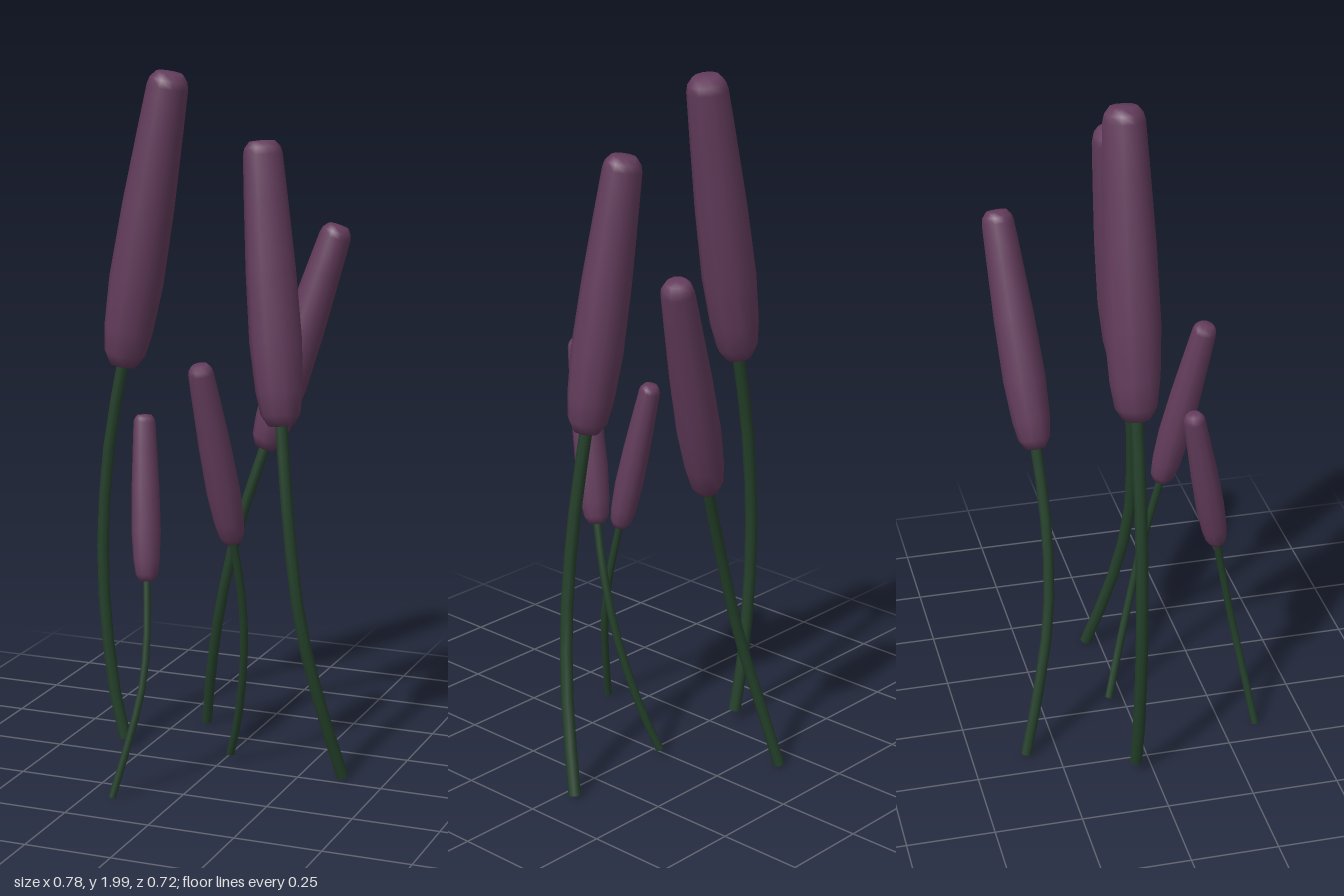
import * as THREE from 'three';

const stemMaterial = new THREE.MeshStandardMaterial({ color: 0x24402a });
const headMaterial = new THREE.MeshStandardMaterial({ color: 0x633c5c });

// Seed head outline: [radius factor, position along the length]
const HEAD_PROFILE = [
  [0, 0], [0.5, 0.004], [0.76, 0.045], [0.9, 0.13], [1, 0.3],
  [0.95, 0.55], [0.83, 0.8], [0.75, 0.95], [0.68, 0.975], [0.48, 0.997], [0, 1],
];

// Each reed: stem points from the ground up (the last is the head's base), head tip, radii
const REEDS = [
  {
    name: 'tallReed', stemRadius: 0.018, headRadius: 0.078, tip: [-0.158, 2.0, -0.047],
    stem: [[-0.31, 0.04, -0.047], [-0.345, 0.2, -0.047], [-0.376, 0.57, -0.047], [-0.352, 0.93, -0.047], [-0.308, 1.16, -0.047]],
  },
  {
    name: 'leaningReed', stemRadius: 0.018, headRadius: 0.073, tip: [0.128, 1.825, -0.013],
    stem: [[0.372, 0.015, -0.04], [0.325, 0.25, 0.03], [0.28, 0.5, 0.075], [0.245, 0.78, 0.077], [0.215, 1.045, 0.055]],
  },
  {
    name: 'backReed', stemRadius: 0.016, headRadius: 0.061, tip: [0.25, 1.56, -0.311],
    stem: [[-0.168, 0.015, -0.342], [-0.135, 0.2, -0.297], [-0.085, 0.43, -0.252], [-0.025, 0.67, -0.24], [0.05, 0.905, -0.251]],
  },
  {
    name: 'middleReed', stemRadius: 0.012, headRadius: 0.047, tip: [0.047, 1.24, 0.243],
    stem: [[0.025, 0.035, -0.048], [0.06, 0.15, -0.015], [0.1, 0.36, 0.04], [0.111, 0.55, 0.085], [0.1, 0.72, 0.126]],
  },
  {
    name: 'shortReed', stemRadius: 0.011, headRadius: 0.041, tip: [-0.155, 1.07, 0.152],
    stem: [[-0.174, 0.012, 0.35], [-0.135, 0.17, 0.323], [-0.105, 0.32, 0.296], [-0.1, 0.46, 0.27], [-0.112, 0.615, 0.24]],
  },
];

// Points a mesh's own y axis along a direction
function aim(mesh, direction) {
  mesh.quaternion.setFromUnitVectors(new THREE.Vector3(0, 1, 0), direction.clone().normalize());
}

function createReed({ name, stem, tip, stemRadius, headRadius }) {
  const reed = new THREE.Group();
  reed.name = name;

  const points = stem.map((p) => new THREE.Vector3(...p));
  const base = points[points.length - 1];
  const axis = new THREE.Vector3(...tip).sub(base);
  const length = axis.length();

  // Bent stem, running a little way into the head
  const inside = base.clone().addScaledVector(axis, 0.05);
  const curve = new THREE.CatmullRomCurve3([...points, inside]);
  const stemMesh = new THREE.Mesh(new THREE.TubeGeometry(curve, 8, stemRadius, 8), stemMaterial);
  stemMesh.name = 'stem';
  reed.add(stemMesh);

  // Cut end of the stem, facing down
  const cap = new THREE.Mesh(new THREE.CircleGeometry(stemRadius, 8).rotateX(Math.PI / 2), stemMaterial);
  cap.name = 'stemEnd';
  cap.position.copy(points[0]);
  aim(cap, curve.getTangent(0));
  reed.add(cap);

  // Long tapering seed head
  const profile = HEAD_PROFILE.map(([r, t]) => new THREE.Vector2(r * headRadius, t * length));
  const head = new THREE.Mesh(new THREE.LatheGeometry(profile, 10), headMaterial);
  head.name = 'seedHead';
  head.position.copy(base);
  aim(head, axis);
  reed.add(head);

  return reed;
}

export function createModel() {
  const group = new THREE.Group();
  group.name = 'reeds';
  REEDS.forEach((reed) => group.add(createReed(reed)));
  return group;
}
